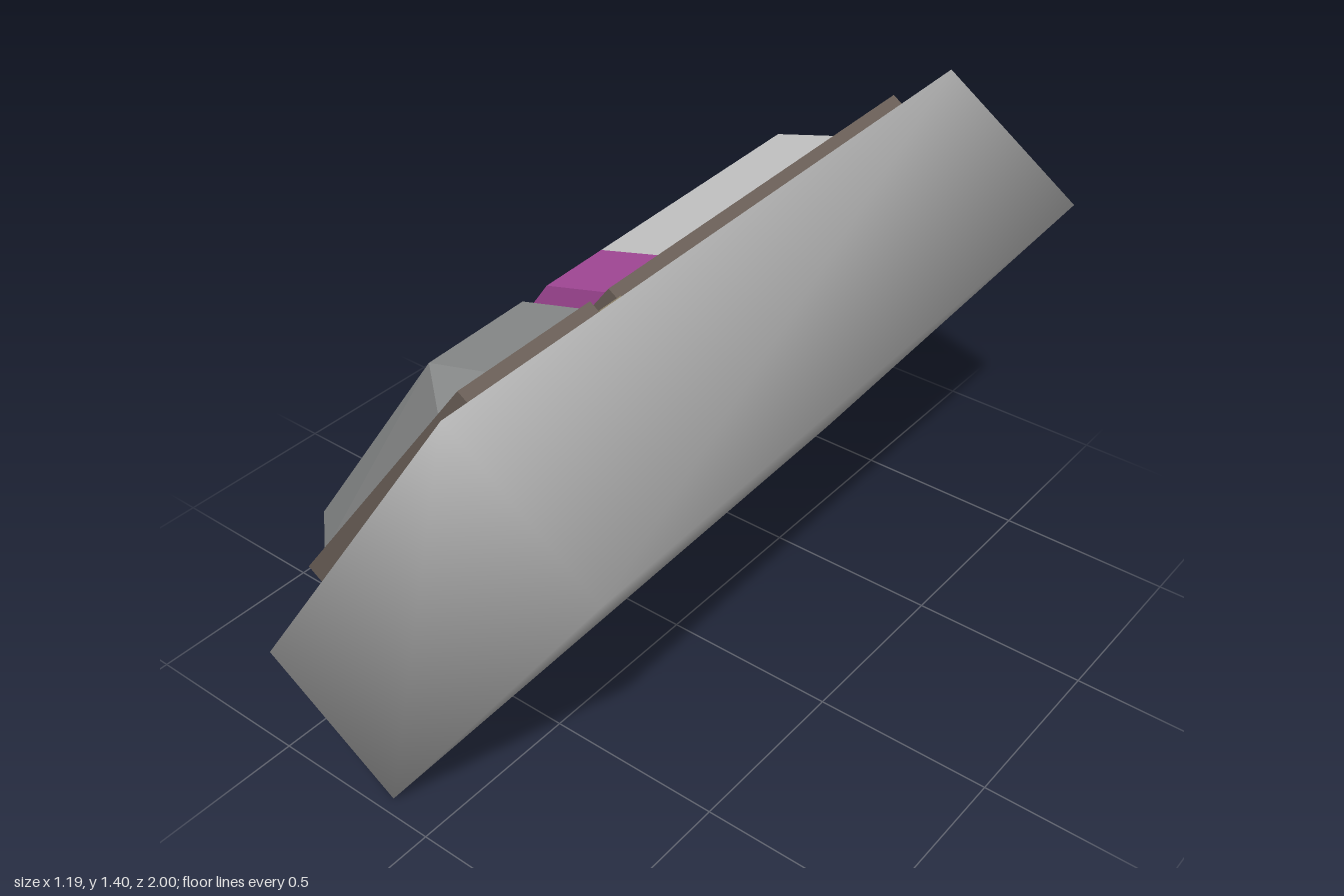
import * as THREE from 'three';
import { mergeVertices } from 'three/addons/utils/BufferGeometryUtils.js';
import { ConvexGeometry } from 'three/addons/geometries/ConvexGeometry.js';

// Local axes: x along the panel, y out of the panel, z across it.
const material = (color = 0xcccccc) => new THREE.MeshStandardMaterial({ color });

// Convex solid from cross-sections: each is [z, profile of [x, y] points]
function loft(name, sections, color) {
  const points = sections.flatMap(([z, profile]) =>
    profile.map(([x, y]) => new THREE.Vector3(x, y, z)));
  const mesh = new THREE.Mesh(new ConvexGeometry(points), material(color));
  mesh.name = name;
  return mesh;
}

// Box given by its limits on each axis
function block(name, [x0, x1], [y0, y1], [z0, z1], color) {
  const geo = new THREE.BoxGeometry(x1 - x0, y1 - y0, z1 - z0);
  geo.translate((x0 + x1) / 2, (y0 + y1) / 2, (z0 + z1) / 2);
  const mesh = new THREE.Mesh(geo, material(color));
  mesh.name = name;
  return mesh;
}

export function createModel() {
  const device = new THREE.Group();
  device.name = 'device';

  // Main body: a box with normals smoothed over its shared corners
  let bodyGeo = new THREE.BoxGeometry(1.296, 0.488, 1.96);
  bodyGeo.deleteAttribute('uv');
  bodyGeo.deleteAttribute('normal');
  bodyGeo = mergeVertices(bodyGeo);
  bodyGeo.computeVertexNormals();
  const body = new THREE.Mesh(bodyGeo, material());
  body.name = 'body';
  device.add(body);

  // Wedge-shaped base plates with a strip in the gap between them
  const plate = [[-0.475, 0.2], [-0.475, 0.338], [0.54, 0.296], [0.54, 0.2]];
  device.add(loft('largePlate', [[-0.865, plate], [0.335, plate]], 0x6b6058));
  device.add(loft('smallPlate', [[0.4, plate], [0.83, plate]], 0x6b6058));
  device.add(block('gapStrip', [-0.475, 0.55], [0.2, 0.265], [0.33, 0.405], 0x8a7f68));

  // Raised covers: full profile, and the narrower one their sloped ends reach
  const full = [[-0.44, 0.25], [-0.44, 0.425], [0.36, 0.42], [0.505, 0.3], [0.505, 0.25]];
  const end = [[-0.44, 0.25], [-0.44, 0.338], [0.36, 0.306], [0.36, 0.25]];
  device.add(loft('largeCover', [[-0.815, end], [-0.62, full], [0.12, full]]));
  device.add(loft('coverBand', [[0.12, full], [0.32, full]], 0xa84a9c));
  device.add(loft('smallCover', [[0.405, full], [0.715, full], [0.79, end]], 0x8c8e8e));

  // Two coloured buttons
  device.add(block('greenButton', [-0.31, -0.065], [0.4, 0.434], [-0.592, -0.29], 0x5fe05a));
  device.add(block('orangeButton', [-0.04, 0.205], [0.4, 0.434], [-0.592, -0.29], 0xe87028));

  // Tilt the whole device
  const z = new THREE.Vector3(0.0077, -0.031, 1).normalize();
  const x = new THREE.Vector3(0.575, 0.818, 0.0208).normalize();
  const y = new THREE.Vector3().crossVectors(z, x).normalize();
  device.quaternion.setFromRotationMatrix(new THREE.Matrix4().makeBasis(x, y, z));
  device.position.set(0.012, 0.702, 0);

  const model = new THREE.Group();
  model.name = 'model';
  model.add(device);
  return model;
}
